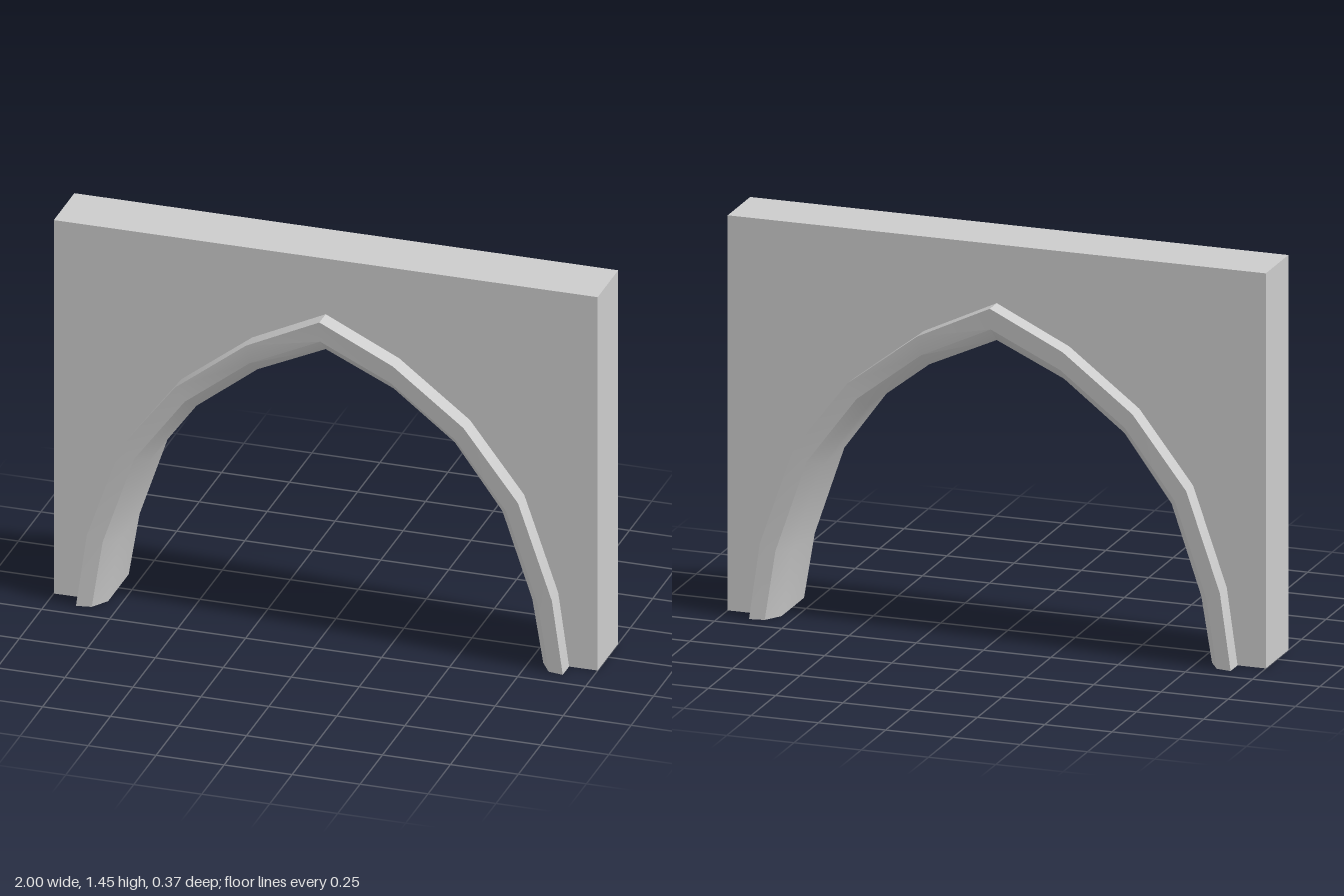
import * as THREE from 'three';
import { toCreasedNormals } from 'three/addons/utils/BufferGeometryUtils.js';

// Half of the pointed arch, foot to apex: outer and inner edges of the moulding
const OUTER = [[0.895, 0], [0.855, 0.28], [0.73, 0.64], [0.53, 0.9], [0.27, 1.1], [0, 1.23]];
const INNER = [[0.8, 0], [0.76, 0.24], [0.65, 0.565], [0.475, 0.805], [0.25, 0.98], [0, 1.095]];
// Moulding section: [share of the way from outer to inner edge, z]
const SECTION = [[0, 0.186], [0.58, 0.177], [1, 0.115], [1, -0.115], [0.58, -0.177], [0, -0.186]];
const WALL_TOP = 1.445;
const WALL_DEPTH = 0.23;

// Continue a half arch over the apex and down to the other foot
const mirrored = (half) => [...half, ...half.slice(0, -1).reverse().map(([x, y]) => [-x, y])];

// Flat wall with the arched opening cut out
function wallGeometry() {
  const outline = [[1, 0], [1, WALL_TOP], [-1, WALL_TOP], [-1, 0], ...mirrored(OUTER).reverse()];
  const shape = new THREE.Shape(outline.map(([x, y]) => new THREE.Vector2(x, y)));
  const geometry = new THREE.ExtrudeGeometry(shape, { depth: WALL_DEPTH, bevelEnabled: false });
  return geometry.translate(0, 0, -WALL_DEPTH / 2);
}

// Moulding section swept along the arch, with closed feet
function mouldingGeometry() {
  const outer = mirrored(OUTER), inner = mirrored(INNER);
  const n = SECTION.length, last = outer.length - 1;
  const positions = [], index = [];
  outer.forEach(([ox, oy], i) => {
    const [ix, iy] = inner[i];
    for (const [t, z] of SECTION) positions.push(ox + (ix - ox) * t, oy + (iy - oy) * t, z);
  });
  for (let i = 0; i < last; i++) {
    for (let j = 0; j < n; j++) {
      const a = i * n + j, b = i * n + (j + 1) % n;
      index.push(a, a + n, b, b, a + n, b + n);
    }
  }
  for (let j = 1; j < n - 1; j++) {
    const e = last * n;
    index.push(0, j, j + 1, e, e + j + 1, e + j);
  }
  const geometry = new THREE.BufferGeometry();
  geometry.setAttribute('position', new THREE.Float32BufferAttribute(positions, 3));
  geometry.setIndex(index);
  return toCreasedNormals(geometry, 0.75);
}

export function createModel() {
  const group = new THREE.Group();
  group.name = 'archway';
  const material = new THREE.MeshStandardMaterial({ color: 0xcccccc });
  const add = (name, geometry) => {
    const mesh = new THREE.Mesh(geometry, material);
    mesh.name = name;
    group.add(mesh);
  };
  add('wall', wallGeometry());
  add('archMoulding', mouldingGeometry());
  return group;
}
